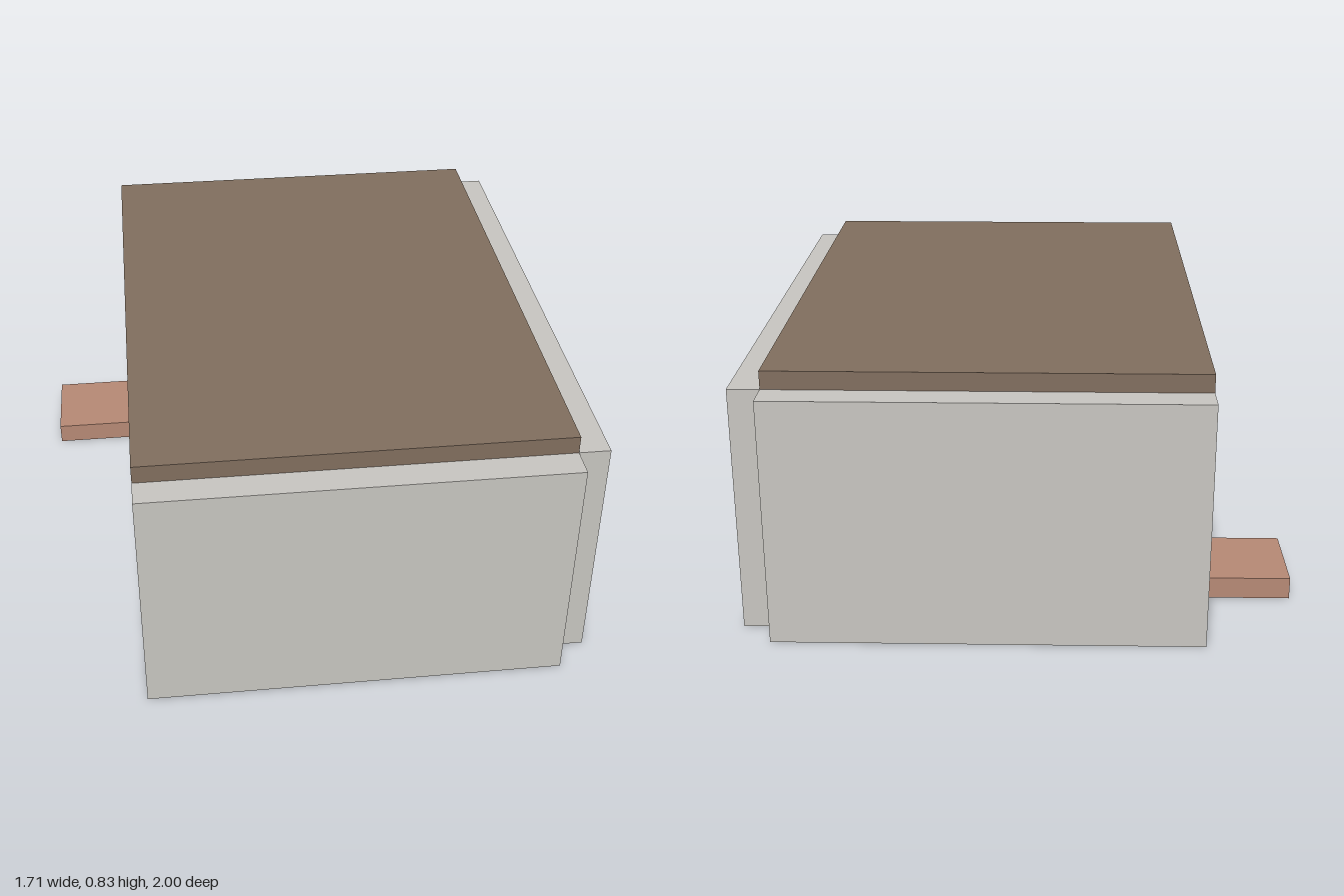
import * as THREE from 'three';

const material = (name, color) => {
  const m = new THREE.MeshStandardMaterial({ color });
  m.name = name;
  return m;
};

export function createModel() {
  const model = new THREE.Group();
  model.name = 'openRoom';
  const plaster = material('palePlaster', 0xc9c7c2);
  const wood = material('brownWood', 0x826f5f);
  const clay = material('clayFloor', 0xb88a76);

  // Box given by its lower and upper limits on each axis
  const box = (name, mat, [x0, x1], [y0, y1], [z0, z1], parent = model) => {
    const mesh = new THREE.Mesh(new THREE.BoxGeometry(x1 - x0, y1 - y0, z1 - z0), mat);
    mesh.position.set((x0 + x1) / 2, (y0 + y1) / 2, (z0 + z1) / 2);
    mesh.name = name;
    parent.add(mesh);
  };

  const roomX = [-0.565, 0.75], roomZ = [-0.905, 0.905];
  const wallY = [0, 0.778];

  // Floor and entrance step
  box('floor', clay, roomX, [0, 0.07], roomZ);
  box('entranceStep', clay, [-0.857, -0.565], [0, 0.07], [-0.69, -0.4]);

  // Walls on three sides, the fourth is open
  box('frontWall', plaster, roomX, wallY, [0.905, 1]);
  box('backWall', plaster, roomX, wallY, [-1, -0.905]);
  box('leftWall', plaster, [0.75, 0.848], wallY, roomZ);

  // Roof slab and ceiling beams
  box('roof', wood, roomX, [0.778, 0.835], roomZ);
  for (const z of [-0.3, 0, 0.3]) {
    box('ceilingBeam', wood, roomX, [0.71, 0.778], [z - 0.027, z + 0.027]);
  }

  // Window panel and sill
  box('windowPanel', plaster, [0.746, 0.852], [0.355, 0.64], [0.305, 0.725]);
  box('windowSill', wood, [0.744, 0.856], [0.33, 0.355], [0.303, 0.727]);

  // Low table
  const table = new THREE.Group();
  table.name = 'table';
  model.add(table);
  const tx = [0.08, 0.33], tz = [0.1, 0.53], leg = 0.024;
  box('tableTop', wood, tx, [0.22, 0.245], tz, table);
  for (const x of [tx[0], tx[1] - leg]) {
    for (const z of [tz[0], tz[1] - leg]) {
      box('tableLeg', wood, [x, x + leg], [0.07, 0.22], [z, z + leg], table);
    }
  }
  return model;
}
